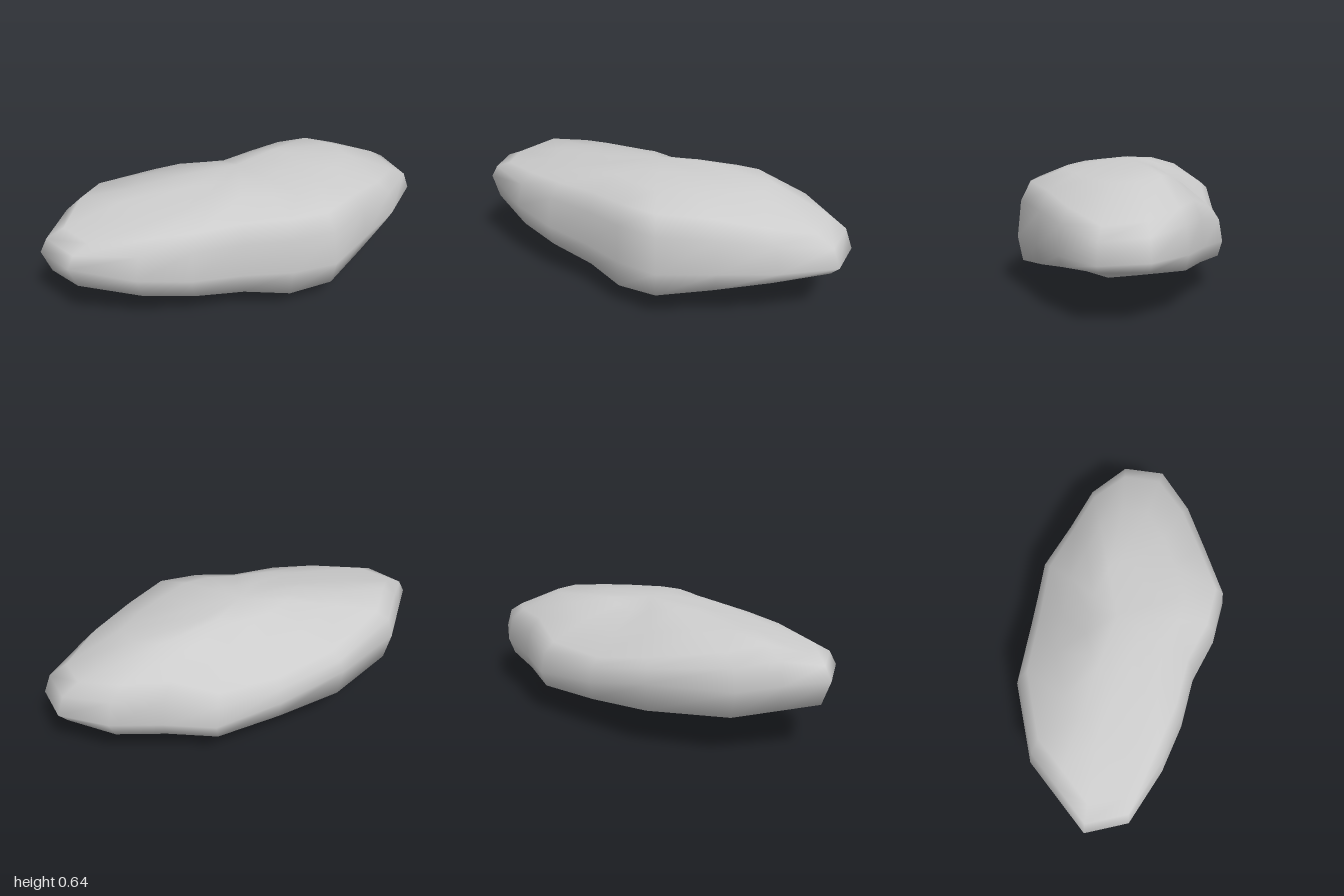
import * as THREE from 'three';

// Plan outline of the boulder: x, z, then heights of lower edge, widest girth, shoulder and plateau
const OUTLINE = [
  [-1.0, -0.29, 0.29, 0.41, 0.51, 0.57],
  [-0.97, -0.52, 0.27, 0.40, 0.51, 0.58],
  [-0.75, -0.595, 0.25, 0.39, 0.57, 0.585],
  [-0.53, -0.67, 0.23, 0.37, 0.54, 0.585],
  [-0.09, -0.61, 0.21, 0.36, 0.47, 0.55],
  [0.24, -0.435, 0.18, 0.28, 0.40, 0.50],
  [0.56, -0.26, 0.17, 0.25, 0.42, 0.53],
  [0.72, -0.04, 0.19, 0.27, 0.49, 0.59],
  [0.90, 0.16, 0.21, 0.29, 0.49, 0.61],
  [1.0, 0.41, 0.25, 0.30, 0.46, 0.595],
  [0.90, 0.62, 0.25, 0.29, 0.44, 0.59],
  [0.60, 0.67, 0.22, 0.28, 0.49, 0.595],
  [0.30, 0.66, 0.17, 0.27, 0.53, 0.60],
  [0.0, 0.65, 0.13, 0.26, 0.55, 0.60],
  [-0.20, 0.51, 0.11, 0.26, 0.55, 0.61],
  [-0.37, 0.32, 0.14, 0.26, 0.54, 0.61],
  [-0.60, 0.16, 0.18, 0.29, 0.54, 0.60],
  [-0.80, -0.03, 0.22, 0.33, 0.53, 0.58],
];

const CROWN = 0.642;

// Rings from underside to crown: plan scale and height rule
const RINGS = [
  [0.55, (p) => p[2] * 0.5],
  [0.96, (p) => p[2]],
  [1.0, (p) => p[3]],
  [0.965, (p) => p[3] + (p[4] - p[3]) * 0.65],
  [0.88, (p) => p[4]],
  [0.6, (p) => p[5]],
  [0.3, (p) => (p[5] + CROWN * 2) / 3],
];

function boulderGeometry() {
  const n = OUTLINE.length;
  const pos = [];
  const index = [];
  for (const [s, height] of RINGS) {
    for (const p of OUTLINE) pos.push(p[0] * s, height(p), p[1] * s);
  }
  const keel = pos.length / 3;
  pos.push(0.1, 0, 0.17);
  const crown = keel + 1;
  pos.push(0, CROWN, 0);

  const last = (RINGS.length - 1) * n;
  for (let i = 0; i < n; i++) {
    const j = (i + 1) % n;
    // sides
    for (let r = 0; r < RINGS.length - 1; r++) {
      const a = r * n + i, b = r * n + j;
      index.push(a, a + n, b, b, a + n, b + n);
    }
    // keel and crown
    index.push(keel, i, j);
    index.push(last + i, crown, last + j);
  }

  const geo = new THREE.BufferGeometry();
  geo.setAttribute('position', new THREE.Float32BufferAttribute(pos, 3));
  geo.setIndex(index);
  geo.computeVertexNormals();
  return geo;
}

export function createModel() {
  const group = new THREE.Group();
  group.name = 'rock';
  const boulder = new THREE.Mesh(
    boulderGeometry(),
    new THREE.MeshStandardMaterial({ color: 0xcccccc })
  );
  boulder.name = 'boulder';
  group.add(boulder);
  return group;
}
